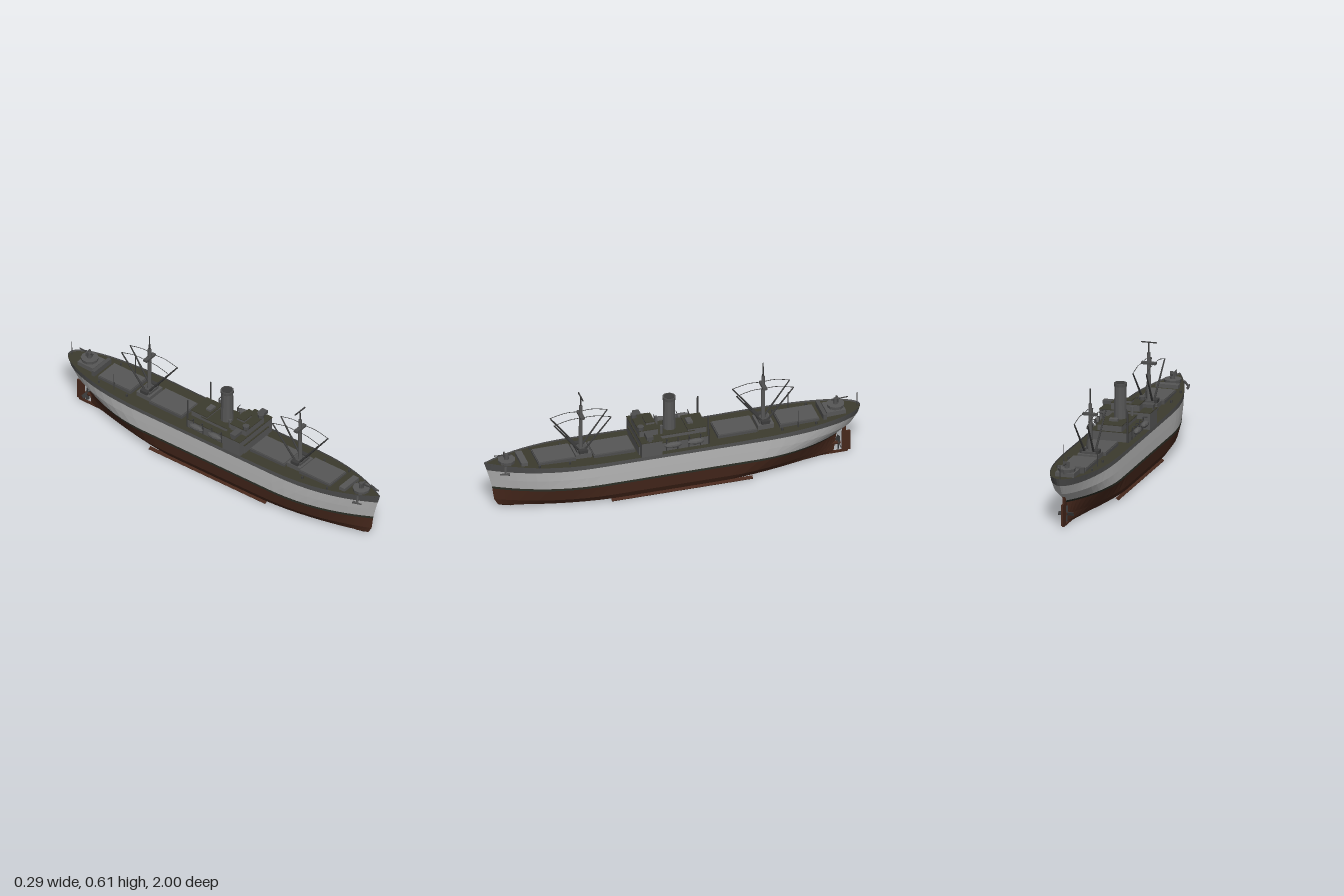
import * as THREE from 'three';

const mat = (name, color, opts = {}) => {
  const m = new THREE.MeshStandardMaterial({ color, flatShading: true, ...opts });
  m.name = name;
  return m;
};

export function createModel() {
  const ship = new THREE.Group();
  ship.name = 'cargoShip';
  const red = mat('redBottomPaint', 0x47281c);
  const boot = mat('waterlinePaint', 0x2c2e26);
  const light = mat('lightGreyPaint', 0xb2b2b2);
  const dark = mat('darkGreyPaint', 0x4e4e4e, { side: THREE.DoubleSide });
  const grey = mat('deckhouseGrey', 0x575757);
  const olive = mat('oliveDeck', 0x3c3b2e);
  const black = mat('rigging', 0x3c3c3c);

  const add = (name, geo, m, x = 0, y = 0, z = 0, parent = ship) => {
    const mesh = new THREE.Mesh(geo, m);
    mesh.name = name;
    mesh.position.set(x, y, z);
    parent.add(mesh);
    return mesh;
  };
  // Box given by centre x, bottom y, centre z
  const box = (name, m, x, y, z, w, h, d, parent = ship) =>
    add(name, new THREE.BoxGeometry(w, h, d), m, x, y + h / 2, z, parent);
  const cyl = (name, m, x, y, z, r0, r1, h, n = 8, parent = ship) =>
    add(name, new THREE.CylinderGeometry(r1, r0, h, n), m, x, y + h / 2, z, parent);
  // Tapered spar between two points
  const spar = (name, m, a, b, r0, r1, parent = ship) => {
    const A = new THREE.Vector3(...a), B = new THREE.Vector3(...b), d = B.clone().sub(A);
    const s = add(name, new THREE.CylinderGeometry(r1, r0, d.length(), 6), m, 0, 0, 0, parent);
    s.position.copy(A).add(B).multiplyScalar(0.5);
    s.quaternion.setFromUnitVectors(new THREE.Vector3(0, 1, 0), d.normalize());
    return s;
  };

  // Hull waterlines: height, bow z, stern z, half beam, bow taper start/power, stern taper start/power/root
  const levels = [
    [0.003, 0.89, -0.85, 0.085, 0.25, 1.7, -0.2, 1.4, 1],
    [0.015, 0.925, -0.86, 0.115, 0.3, 1.8, -0.25, 1.5, 1],
    [0.05, 0.945, -0.865, 0.135, 0.35, 2, -0.3, 1.7, 1],
    [0.116, 0.955, -0.875, 0.147, 0.4, 2.1, -0.4, 2, 0.9],
    [0.129, 0.957, -0.89, 0.147, 0.4, 2.1, -0.42, 2, 0.85],
    [0.18, 0.97, -0.955, 0.146, 0.4, 2.3, -0.45, 2, 0.65],
    [0.232, 0.985, -0.988, 0.144, 0.4, 2.4, -0.45, 2, 0.55],
    [0.25, 1, -1, 0.142, 0.4, 2.5, -0.45, 2, 0.5],
  ];
  const N = 36, TOP = levels.length - 1;
  const sheer = z => (z > 0 ? 0.03 : 0.022) * Math.pow(Math.abs(z), 2.5);
  const deckY = z => 0.24 + sheer(z);
  const hullPoint = (j, i, side) => {
    const [y, zf, zb, B, f0, pf, a0, pa, qa] = levels[j];
    const z = (zf + zb) / 2 + (zf - zb) / 2 * Math.cos(Math.PI * i / N);
    let w = B;
    if (z > f0) w *= 1 - Math.pow(Math.min(1, (z - f0) / (zf - f0)), pf);
    if (z < a0) w *= Math.pow(Math.max(0, 1 - Math.pow((a0 - z) / (a0 - zb), pa)), qa);
    return [side * w, y + (j === TOP ? sheer(z) : 0), z];
  };
  const quads = list => {
    const p = [];
    for (const [a, b, c, d] of list) p.push(...a, ...b, ...c, ...a, ...c, ...d);
    const g = new THREE.BufferGeometry();
    g.setAttribute('position', new THREE.Float32BufferAttribute(p, 3));
    g.computeVertexNormals();
    return g;
  };
  const plating = (j0, j1) => {
    const list = [];
    for (let j = j0; j < j1; j++) for (let i = 0; i < N; i++) for (const s of [1, -1]) {
      const q = [hullPoint(j, i, s), hullPoint(j, i + 1, s), hullPoint(j + 1, i + 1, s), hullPoint(j + 1, i, s)];
      list.push(s > 0 ? q : q.reverse());
    }
    return quads(list);
  };
  add('lowerHull', plating(0, 3), red);
  add('waterlineBand', plating(3, 4), boot);
  add('hullSides', plating(4, 6), light);
  add('bulwark', plating(6, 7), dark);
  const bottom = [], deck = [];
  const deckPoint = (i, s) => { const p = hullPoint(TOP, i, s); return [p[0] * 0.995, p[1] - 0.009, p[2] * 0.998]; };
  for (let i = 0; i < N; i++) {
    bottom.push([hullPoint(0, i, 1), hullPoint(0, i, -1), hullPoint(0, i + 1, -1), hullPoint(0, i + 1, 1)]);
    deck.push([deckPoint(i, -1), deckPoint(i, 1), deckPoint(i + 1, 1), deckPoint(i + 1, -1)]);
  }
  add('hullBottom', quads(bottom), red);
  add('mainDeck', quads(deck), olive);

  // Keel, bilge keels, rudder and propeller
  box('keel', red, 0, 0, -0.03, 0.012, 0.008, 1.78);
  for (const s of [1, -1]) {
    const fin = box('bilgeKeel', red, s * 0.116, 0.006, -0.02, 0.018, 0.004, 0.75);
    fin.rotation.z = -s * 0.6;
  }
  box('rudder', red, 0, 0.008, -0.926, 0.01, 0.112, 0.045);
  box('rudderPost', red, 0, 0.11, -0.915, 0.012, 0.06, 0.018);
  box('sternShoe', red, 0, 0, -0.885, 0.01, 0.01, 0.1);
  add('propellerShaft', new THREE.CylinderGeometry(0.008, 0.01, 0.06, 8).rotateX(Math.PI / 2), red, 0, 0.058, -0.865);
  for (let k = 0; k < 4; k++) {
    const blade = box('propellerBlade', black, 0, 0, 0, 0.02, 0.038, 0.004);
    blade.geometry.translate(0, 0.022, 0);
    blade.position.set(0, 0.058, -0.885);
    blade.rotation.set(0, 0.4, k * Math.PI / 2, 'ZYX');
  }

  // Cargo hatches: centre z, length
  for (const [z, d] of [[0.325, 0.22], [0.63, 0.2], [-0.33, 0.21], [-0.66, 0.21]]) {
    box('hatchCoaming', dark, 0, deckY(z) - 0.005, z, 0.136, 0.021, d);
    box('hatchCover', grey, 0, deckY(z) + 0.016, z, 0.13, 0.006, d - 0.008);
  }
  box('foredeckLocker', grey, 0, deckY(0.8) - 0.005, 0.8, 0.12, 0.025, 0.035);
  box('aftLocker', dark, 0, deckY(-0.8) - 0.005, -0.795, 0.14, 0.035, 0.02);
  box('aftDeckhouse', grey, 0, deckY(-0.86) - 0.005, -0.86, 0.1, 0.03, 0.1);

  // Masts with mast house, crosstree, booms and stays
  for (const [z, top, yard] of [[0.485, 0.585, true], [-0.485, 0.61, false]]) {
    const rig = new THREE.Group();
    rig.name = yard ? 'foreMast' : 'mainMast';
    ship.add(rig);
    box('mastHouse', grey, 0, 0.24, z, 0.11, 0.03, 0.085, rig);
    box('winchPlatform', dark, 0, 0.27, z, 0.075, 0.012, 0.06, rig);
    cyl('lowerMast', grey, 0, 0.25, z, 0.012, 0.009, 0.28, 8, rig);
    cyl('topMast', black, 0, 0.52, z, 0.005, 0.003, top - 0.52, 6, rig);
    box('crosstree', dark, 0, 0.468, z, 0.078, 0.012, 0.022, rig);
    if (yard) box('signalYard', black, 0, 0.582, z, 0.084, 0.005, 0.006, rig);
    for (const s of [1, -1]) {
      box('winch', black, s * 0.04, 0.27, z, 0.022, 0.018, 0.045, rig);
      for (const dir of [1, -1]) {
        const tip = [s * 0.036, 0.458, z + dir * 0.152];
        spar('boom', black, [s * 0.024, 0.275, z + dir * 0.012], tip, 0.006, 0.0035, rig);
        const lift = new THREE.CatmullRomCurve3([
          new THREE.Vector3(s * 0.03, 0.476, z),
          new THREE.Vector3(s * 0.034, 0.477, z + dir * 0.07),
          new THREE.Vector3(...tip)]);
        add('boomStay', new THREE.TubeGeometry(lift, 6, 0.002, 4), black, 0, 0, 0, rig);
      }
    }
  }

  // Midship house and bridge
  const house = new THREE.Group();
  house.name = 'superstructure';
  ship.add(house);
  const block = (name, x, y, z, w, h, d) => {
    box(name, grey, x, y, z, w, h, d, house);
    box(name + 'Roof', olive, x, y + h, z, w + 0.004, 0.004, d + 0.004, house);
  };
  block('lowerHouse', 0, 0.235, 0.02, 0.2, 0.055, 0.37);
  block('boatDeckHouse', 0, 0.29, 0.0, 0.13, 0.022, 0.2);
  block('bridgeHouse', 0, 0.235, 0.145, 0.27, 0.092, 0.11);
  block('wheelhouse', 0, 0.33, 0.145, 0.15, 0.035, 0.1);
  block('chartRoom', 0, 0.365, 0.125, 0.06, 0.016, 0.045);
  block('aftHouse', 0, 0.29, -0.115, 0.13, 0.035, 0.1);
  box('aftHouseVent', grey, 0, 0.329, -0.09, 0.045, 0.012, 0.03, house);
  cyl('funnel', grey, 0, 0.29, 0.015, 0.034, 0.031, 0.205, 12, house);
  cyl('funnelRim', dark, 0, 0.485, 0.015, 0.034, 0.034, 0.016, 12, house);
  cyl('funnelMouth', black, 0, 0.5, 0.015, 0.027, 0.027, 0.003, 12, house);
  for (const s of [1, -1]) {
    box('bridgeWing', dark, s * 0.107, 0.343, 0.155, 0.058, 0.018, 0.035, house);
    box('wingPost', dark, s * 0.132, 0.327, 0.155, 0.006, 0.018, 0.02, house);
    cyl('ventPost', black, s * 0.096, 0.24, -0.165, 0.006, 0.004, 0.168, 6, house);
    cyl('gunTub', dark, s * 0.062, 0.366, 0.185, 0.016, 0.018, 0.022, 8, house);
    cyl('ventilator', grey, s * 0.045, 0.312, 0.07, 0.008, 0.008, 0.05, 8, house);
    // Lifeboats on davits
    for (const z of [0.03, -0.09]) {
      const boat = add('lifeboat', new THREE.SphereGeometry(1, 8, 6), grey, s * 0.126, 0.287, z, house);
      boat.scale.set(0.017, 0.016, 0.046);
      for (const dz of [-0.03, 0.03]) {
        spar('davit', black, [s * 0.104, 0.245, z + dz], [s * 0.108, 0.315, z + dz], 0.003, 0.003, house);
        spar('davitArm', black, [s * 0.108, 0.315, z + dz], [s * 0.13, 0.318, z + dz], 0.003, 0.002, house);
      }
    }
  }

  // Bow and stern guns on round platforms
  for (const [z, dir] of [[0.88, 1], [-0.87, -1]]) {
    const gun = new THREE.Group();
    gun.name = dir > 0 ? 'bowGun' : 'sternGun';
    gun.position.set(0, deckY(z) + (dir > 0 ? 0 : 0.022), z);
    ship.add(gun);
    cyl('gunPlatform', grey, 0, -0.005, 0, 0.042, 0.046, 0.025, 10, gun);
    cyl('gunMount', dark, 0, 0.02, 0, 0.014, 0.01, 0.03, 8, gun);
    box('gunShield', dark, 0, 0.03, dir * 0.01, 0.034, 0.024, 0.008, gun);
    spar('gunBarrel', black, [0, 0.042, -dir * 0.02], [0, 0.047, dir * 0.065], 0.005, 0.003, gun);
  }

  // Anchors, bollards and stern staff
  for (const s of [1, -1]) {
    spar('anchorShank', dark, [s * 0.055, 0.268, 0.9], [s * 0.078, 0.236, 0.91], 0.006, 0.006);
    spar('anchorFluke', dark, [s * 0.078, 0.236, 0.885], [s * 0.072, 0.24, 0.935], 0.008, 0.004);
    for (const z of [0.73, 0.57, -0.56, -0.74]) cyl('bollard', black, s * 0.092, deckY(z) - 0.002, z, 0.006, 0.006, 0.016, 6);
    cyl('sidePole', black, s * 0.09, deckY(-0.645), -0.645, 0.003, 0.002, 0.1, 5);
  }
  cyl('flagStaff', black, 0, deckY(-0.98), -0.985, 0.003, 0.002, 0.08, 5);
  return ship;
}
